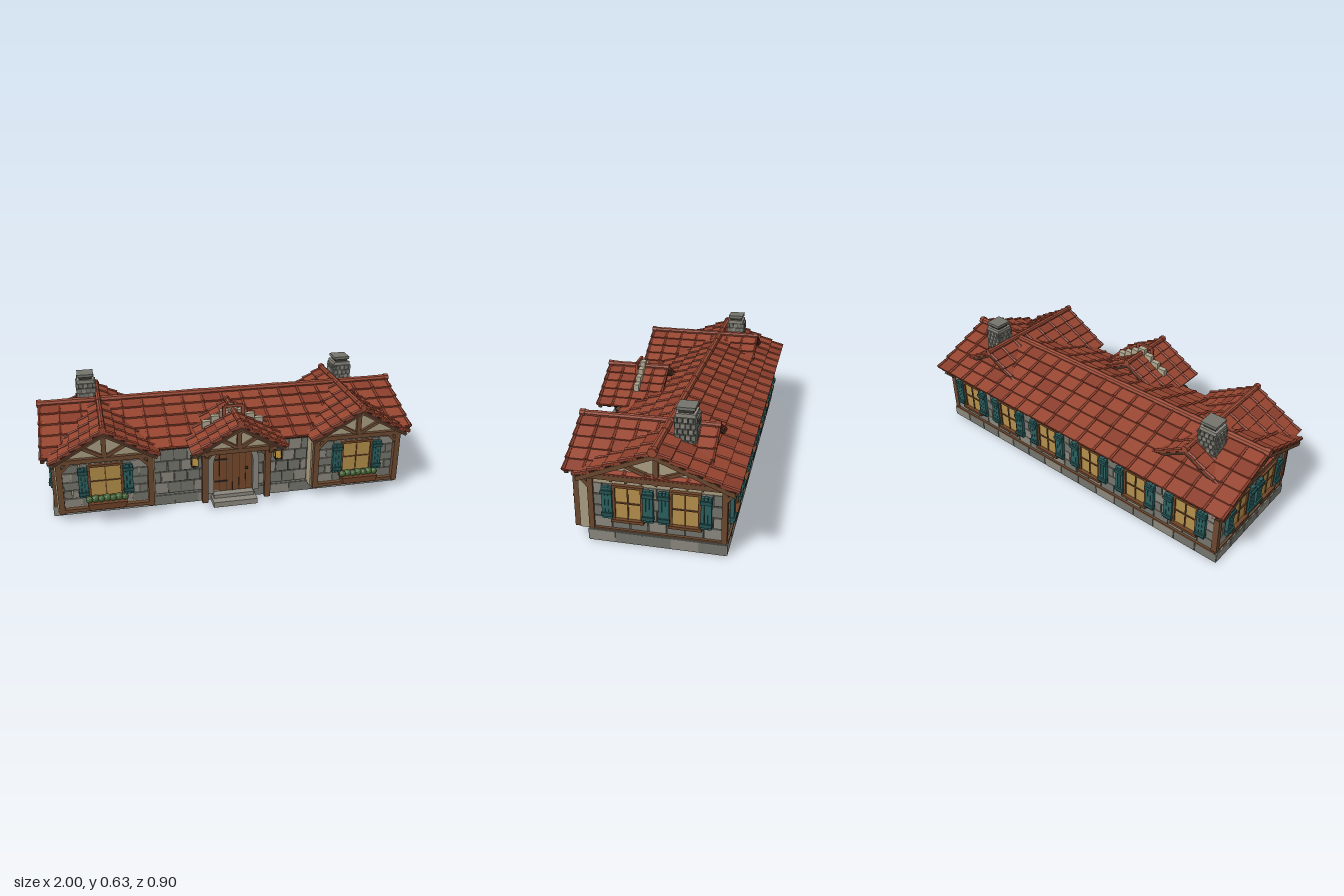
import * as THREE from 'three';
import { mergeGeometries } from 'three/addons/utils/BufferGeometryUtils.js';

const COLORS = {
  plinth: 0x77776f, mortar: 0x55544e, stoneDark: 0x74746d, stoneLight: 0x8a877d, plaster: 0xaa9e82,
  timber: 0x6b4830, roofDeck: 0x4a2f22, roofTileA: 0x964530, roofTileB: 0x8a3d2b, tileRoll: 0x8c3f2c,
  ridgeTile: 0x9a4a35, windowGlass: 0xb38e4a, windowFrame: 0x6e4428, shutter: 0x2b5f5f,
  shutterBatten: 0x245252, door: 0x75492c, doorSeam: 0x422a1b, ironwork: 0x2e2a28,
  flowerBox: 0x6b4026, plants: 0x4a6b3c, lanternGlass: 0xd0a040, chimneyNeck: 0x38342f, steppedTrim: 0xb0a68e,
};
const V = (x, y, z) => new THREE.Vector3(x, y, z);

export function createModel() {
  const parts = {};
  let frame = new THREE.Matrix4();

  // Every piece is collected by part name and merged at the end
  const add = (name, geo) => {
    const g = geo.index ? geo.toNonIndexed() : geo;
    (parts[name] ??= []).push(g.applyMatrix4(frame));
  };
  const within = (matrix, fn) => {
    const old = frame;
    frame = old.clone().multiply(matrix);
    fn();
    frame = old;
  };
  // Local wall frame: x right, y up, z out of the wall
  const at = (x, z, ry, fn) =>
    within(new THREE.Matrix4().makeRotationY(ry).setPosition(x, 0, z), fn);
  // Box by its extents
  const box = (name, x0, x1, y0, y1, z0, z1) =>
    add(name, new THREE.BoxGeometry(x1 - x0, y1 - y0, z1 - z0)
      .translate((x0 + x1) / 2, (y0 + y1) / 2, (z0 + z1) / 2));
  // Straight timber between two points
  const beam = (a, b, w, name = 'timber') => {
    const m = new THREE.Matrix4().lookAt(a, b, Math.abs(b.y - a.y) > 0.99 * a.distanceTo(b) ? V(0, 0, 1) : V(0, 1, 0));
    add(name, new THREE.BoxGeometry(w, w, a.distanceTo(b)).applyMatrix4(m.setPosition(a.clone().lerp(b, 0.5))));
  };
  // Staggered stone blocks on a wall face
  const blocks = (x0, x1, y0, y1, cols, rows, depth, gap = 0.005) => {
    const w = (x1 - x0) / cols, h = (y1 - y0) / rows;
    for (let r = 0; r < rows; r++)
      for (let c = 0; c <= cols; c++) {
        const s = x0 + (c - (r % 2) / 2) * w;
        const a = Math.max(x0, s), b = Math.min(x1, s + w);
        if (b - a < 0.01) continue;
        box((c * 7 + r * 5) % 3 ? 'stoneDark' : 'stoneLight', a + gap / 2, b - gap / 2,
          y0 + r * h + gap / 2, y0 + (r + 1) * h - gap / 2, -0.004, depth + ((c * 3 + r) % 3) * 0.001);
      }
  };
  // Window with muntins, sill and a pair of shutters
  const windowUnit = (x, y, w, h) => {
    const l = x - w / 2, r = x + w / 2, b = y - h / 2, t = y + h / 2;
    box('windowGlass', l, r, b, t, 0, 0.014);
    box('windowFrame', x - 0.003, x + 0.003, b, t, 0.01, 0.019);
    box('windowFrame', l, r, y - 0.003, y + 0.003, 0.01, 0.019);
    for (const e of [l, r]) box('windowFrame', e - 0.006, e + 0.006, b, t, 0, 0.022);
    box('windowFrame', l - 0.008, r + 0.008, t - 0.003, t + 0.009, 0, 0.024);
    box('windowFrame', l - 0.012, r + 0.012, b - 0.012, b + 0.002, 0, 0.034);
    for (const s of [-1, 1]) {
      const cx = x + s * (w / 2 + 0.031);
      for (let i = -1; i <= 1; i++)
        box('shutter', cx + i * 0.0165 - 0.0075, cx + i * 0.0165 + 0.0075, b + 0.002, t - 0.002 * Math.abs(i), 0.012, 0.03);
      for (const k of [0.15, 0.85])
        box('shutterBatten', cx - 0.027, cx + 0.027, b + h * k - 0.009, b + h * k + 0.009, 0.014, 0.038);
    }
  };
  // Plaster gable with tie beam, king post, rafters and struts
  const gable = (half, y0, y1, back, front) => {
    const tri = new THREE.Shape([[-half, y0], [half, y0], [0, y1]].map(p => new THREE.Vector2(...p)));
    add('plaster', new THREE.ExtrudeGeometry(tri, { depth: front - back, bevelEnabled: false }).translate(0, 0, back));
    const z = front + 0.006;
    box('timber', -half - 0.01, half + 0.01, y0 - 0.012, y0 + 0.012, front - 0.005, z + 0.014);
    box('timber', -0.012, 0.012, y0, y1, front - 0.005, z + 0.012);
    for (const s of [-1, 1]) {
      beam(V(s * half * 1.02, y0 + 0.004, z), V(0, y1 - 0.004, z), 0.022);
      beam(V(s * 0.012, y0 + 0.015, z), V(s * half * 0.5, (y0 + y1) / 2, z), 0.017);
    }
  };
  // One tiled slope falling from a ridge midpoint along `down`
  const slope = (mid, axis, down, length, rows, cols) => {
    const D = down.clone().normalize(), run = down.length();
    const N = axis.clone().cross(D);
    if (N.y < 0) N.negate();
    const U = N.clone().cross(D);
    within(new THREE.Matrix4().makeBasis(U, N, D).setPosition(mid), () => {
      box('roofDeck', -length / 2 + 0.004, length / 2 - 0.004, -0.02, -0.004, 0, run - 0.01);
      const w = length / cols, h = run / rows;
      for (let r = 0; r < rows; r++)
        for (let c = 0; c <= cols; c++) {
          const x = -length / 2 + c * w, z = (r + 0.5) * h;
          if (c < cols)
            add((c * 5 + r * 3) % 4 ? 'roofTileA' : 'roofTileB', new THREE.BoxGeometry(w * 0.97, 0.011, h * 1.08)
              .rotateX(-0.13).translate(x + w / 2, 0.003, z));
          const edge = Math.min(Math.max(x, -length / 2 + 0.008), length / 2 - 0.008);
          add('tileRoll', new THREE.CylinderGeometry(0.011, 0.008, h * 1.06, 6)
            .rotateX(Math.PI / 2 - 0.11).translate(edge, 0.007, z));
        }
    });
  };
  // Overlapping round tiles along a ridge
  const ridge = (a, b, n, r) => {
    const dir = b.clone().sub(a), q = new THREE.Quaternion().setFromUnitVectors(V(0, 1, 0), dir.clone().normalize());
    for (let i = 0; i < n; i++)
      add('ridgeTile', new THREE.CylinderGeometry(i % 2 ? r : r * 0.88, r * 0.9, dir.length() / n * 1.04, 8)
        .applyQuaternion(q).translate(...a.clone().addScaledVector(dir, (i + 0.5) / n).toArray()));
    for (const e of [a, b])
      add('ridgeTile', new THREE.CylinderGeometry(r * 1.15, r * 1.15, 0.025, 8).applyQuaternion(q)
        .translate(...e.clone().lerp(e === a ? b : a, 0.012 / dir.length()).toArray()));
  };
  // Gabled roof with its ridge along z
  const crossRoof = (x, y, z0, z1, run, drop, rows, cols) => {
    for (const s of [-1, 1]) {
      slope(V(x, y, (z0 + z1) / 2), V(0, 0, 1), V(s * run, -drop, 0), z1 - z0, rows, cols);
      beam(V(x + s * run * 0.97, y - drop - 0.012, z1 - 0.015), V(x, y - 0.022, z1 - 0.015), 0.018);
    }
    ridge(V(x, y + 0.012, z0), V(x, y + 0.012, z1), 9, 0.016);
  };

  // Plinth and main walls
  box('plinth', -0.95, 0.95, 0, 0.06, -0.39, 0.255);
  box('mortar', -0.93, 0.93, 0.05, 0.345, -0.38, 0.24);
  at(0, 0.255, 0, () => blocks(-0.955, 0.955, 0.002, 0.06, 15, 1, 0.004));
  at(0, -0.39, Math.PI, () => blocks(-0.955, 0.955, 0.002, 0.06, 15, 1, 0.004));

  // End walls
  for (const s of [-1, 1]) {
    at(s * 0.95, -0.0675, s * Math.PI / 2, () => blocks(-0.325, 0.325, 0.002, 0.06, 5, 1, 0.004));
    at(s * 0.93, -0.0675, s * Math.PI / 2, () => {
      blocks(-0.3, 0.3, 0.068, 0.3, 7, 4, 0.006);
      box('plaster', -0.31, 0.31, 0.3, 0.335, -0.01, 0.006);
      box('timber', -0.32, 0.32, 0.058, 0.068, 0, 0.016);
      for (const k of [-1, 1]) {
        windowUnit(k * 0.133, 0.212, 0.13, 0.165);
        box('timber', k * 0.31 - 0.013, k * 0.31 + 0.013, 0.05, 0.345, -0.013, 0.018);
        beam(V(k * 0.315, 0.28, 0.008), V(k * 0.365, 0.335, 0.008), 0.018);
        beam(V(k * 0.36, 0.336, 0.052), V(0, 0.483, 0.052), 0.02);
      }
      for (let i = -3; i <= 3; i++) box('timber', i * 0.07 - 0.005, i * 0.07 + 0.005, 0.316, 0.328, 0, 0.02);
      gable(0.33, 0.338, 0.482, -0.03, 0.004);
    });
  }

  // Back wall
  at(0, -0.38, Math.PI, () => {
    blocks(-0.92, 0.92, 0.068, 0.3, 21, 4, 0.006);
    box('plaster', -0.92, 0.92, 0.3, 0.345, -0.01, 0.006);
    box('timber', -0.94, 0.94, 0.058, 0.068, 0, 0.016);
    box('timber', -0.94, 0.94, 0.326, 0.348, 0, 0.016);
    for (let i = 0; i < 6; i++) windowUnit((i - 2.5) * 0.305, 0.212, 0.13, 0.165);
    for (let i = -14; i <= 14; i++) beam(V(i * 0.068, 0.365, 0), V(i * 0.068, 0.342, 0.055), 0.014);
  });

  // Front wall
  at(0, 0.24, 0, () => {
    for (const s of [-1, 1]) {
      blocks(Math.min(s * 0.14, s * 0.42), Math.max(s * 0.14, s * 0.42), 0.065, 0.32, 4, 4, 0.006);
      box('plaster', s * 0.28 - 0.14, s * 0.28 + 0.14, 0.318, 0.35, -0.01, 0.006);
    }
    box('timber', -0.42, 0.42, 0.328, 0.35, 0, 0.016);
  });

  // Arched doorway
  const arch = (r, y) => new THREE.Shape().moveTo(-r, 0.05).lineTo(r, 0.05).lineTo(r, y).absarc(0, y, r, 0, Math.PI, false).closePath();
  const surround = arch(0.14, 0.225);
  surround.holes.push(arch(0.108, 0.225));
  add('stoneLight', new THREE.ExtrudeGeometry(surround, { depth: 0.045, bevelEnabled: false, curveSegments: 10 }).translate(0, 0, 0.235));
  add('door', new THREE.ExtrudeGeometry(arch(0.11, 0.225), { depth: 0.024, bevelEnabled: false, curveSegments: 10 }).translate(0, 0, 0.235));
  for (let i = -2; i <= 2; i++) box('doorSeam', i * 0.036 - 0.0015, i * 0.036 + 0.0015, 0.05, 0.325 - 0.007 * i * i, 0.25, 0.261);
  for (const y of [0.11, 0.24]) box('ironwork', -0.1, -0.03, y - 0.004, y + 0.004, 0.25, 0.264);
  add('ironwork', new THREE.IcosahedronGeometry(0.009, 1).translate(0.075, 0.18, 0.265));
  box('stoneLight', -0.12, 0.12, 0, 0.03, 0.25, 0.345);
  box('stoneLight', -0.11, 0.11, 0.03, 0.05, 0.25, 0.3);

  // Porch frame and lanterns
  for (const s of [-1, 1]) {
    box('timber', s * 0.168 - 0.016, s * 0.168 + 0.016, 0.045, 0.355, 0.332, 0.362);
    box('timber', s * 0.168 - 0.012, s * 0.168 + 0.012, 0.345, 0.37, 0.24, 0.425);
    box('timber', s * 0.168 - 0.01, s * 0.168 + 0.01, 0.33, 0.365, 0.39, 0.41);
    beam(V(s * 0.165, 0.29, 0.347), V(s * 0.11, 0.35, 0.347), 0.018);
    const x = s * 0.222;
    box('lanternGlass', x - 0.015, x + 0.015, 0.272, 0.318, 0.336, 0.366);
    for (const a of [-1, 1]) for (const b of [-1, 1])
      box('ironwork', x + a * 0.016 - 0.002, x + a * 0.016 + 0.002, 0.268, 0.32, 0.349 + b * 0.016, 0.353 + b * 0.016);
    box('ironwork', x - 0.018, x + 0.018, 0.264, 0.272, 0.333, 0.369);
    add('ironwork', new THREE.ConeGeometry(0.028, 0.028, 4).rotateY(Math.PI / 4).translate(x, 0.332, 0.351));
    beam(V(s * 0.18, 0.345, 0.351), V(x, 0.345, 0.351), 0.007, 'ironwork');
  }
  at(0, 0.4, 0, () => gable(0.19, 0.362, 0.49, -0.015, 0));

  // Front wings
  for (const s of [-1, 1]) at(s * 0.677, 0.305, 0, () => {
    box('plaster', -0.253, 0.253, 0.05, 0.345, -0.08, 0);
    blocks(-0.215, 0.215, 0.075, 0.315, 5, 5, 0.006);
    box('timber', -0.245, 0.245, 0.052, 0.07, 0, 0.024);
    for (const k of [-1, 1]) {
      box('timber', k * 0.23 - 0.015, k * 0.23 + 0.015, 0.048, 0.345, -0.005, 0.028);
      beam(V(k * 0.225, 0.28, 0.018), V(k * 0.175, 0.335, 0.018), 0.016);
    }
    gable(0.24, 0.34, 0.488, -0.03, 0.01);
    windowUnit(0, 0.217, 0.165, 0.17);
    box('flowerBox', -0.095, 0.095, 0.09, 0.124, 0.03, 0.088);
    box('flowerBox', -0.1, 0.1, 0.115, 0.125, 0.027, 0.092);
    for (let i = 0; i < 7; i++)
      add('plants', new THREE.IcosahedronGeometry(0.018 + (i % 2) * 0.003, 1).translate((i - 3) * 0.03, 0.139, 0.062 - (i % 2) * 0.006));
  });

  // Main roof, front and back
  slope(V(0, 0.502, -0.067), V(1, 0, 0), V(0, -0.15, 0.368), 1.99, 5, 18);
  slope(V(0, 0.502, -0.067), V(1, 0, 0), V(0, -0.15, -0.374), 1.99, 5, 18);
  ridge(V(-1, 0.51, -0.067), V(1, 0.51, -0.067), 18, 0.02);

  // Wing and porch roofs
  for (const s of [-1, 1]) crossRoof(s * 0.677, 0.508, -0.31, 0.37, 0.272, 0.158, 5, 7);
  crossRoof(0, 0.51, 0.1, 0.445, 0.245, 0.142, 5, 4);

  // Stepped trim across the porch ridge
  for (let i = -3; i <= 3; i++) {
    const y = 0.541 - Math.abs(i) * 0.027;
    box('steppedTrim', i * 0.047 - 0.022, i * 0.047 + 0.022, y - 0.03, y + 0.008, 0.232, 0.26);
  }
  box('ridgeTile', -0.05, 0.05, 0.544, 0.558, 0.264, 0.276);
  for (const s of [-1, 1]) box('ridgeTile', s * 0.05 - 0.009, s * 0.05 + 0.009, 0.48, 0.55, 0.264, 0.276);

  // Chimneys
  for (const s of [-1, 1]) within(new THREE.Matrix4().makeTranslation(s * 0.735, 0, -0.165), () => {
    box('mortar', -0.046, 0.046, 0.4, 0.6, -0.046, 0.046);
    for (let k = 0; k < 4; k++) within(new THREE.Matrix4().makeRotationY(k * Math.PI / 2), () =>
      within(new THREE.Matrix4().makeTranslation(0, 0, 0.046), () => blocks(-0.05, 0.05, 0.42, 0.588, 4, 6, 0.006, 0.004)));
    box('stoneLight', -0.047, 0.047, 0.588, 0.605, -0.047, 0.047);
    box('chimneyNeck', -0.034, 0.034, 0.605, 0.622, -0.034, 0.034);
    box('stoneDark', -0.044, 0.044, 0.62, 0.635, -0.044, 0.044);
  });

  const model = new THREE.Group();
  model.name = 'cottage';
  for (const [name, geos] of Object.entries(parts)) {
    const mesh = new THREE.Mesh(mergeGeometries(geos),
      new THREE.MeshStandardMaterial({ color: COLORS[name], flatShading: true }));
    mesh.name = name;
    model.add(mesh);
  }
  return model;
}
